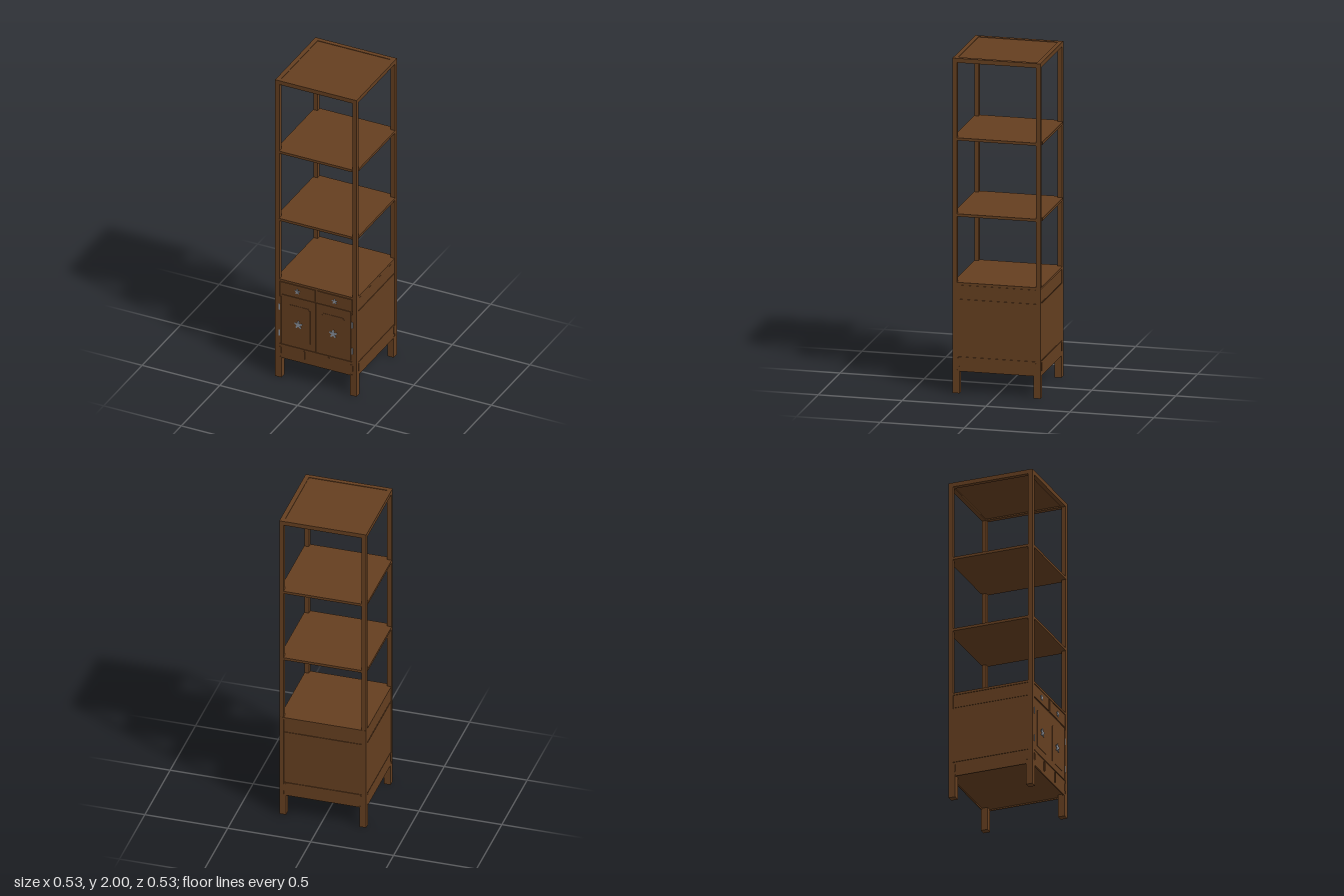
import * as THREE from 'three';

const wood = new THREE.MeshStandardMaterial({ color: 0x653f20 });
wood.name = 'brown wood';
const metal = new THREE.MeshStandardMaterial({ color: 0x8b919b });
metal.name = 'grey metal';

// Box given by its min and max on each axis
function box(parent, name, x0, x1, y0, y1, z0, z1, mat = wood) {
  const mesh = new THREE.Mesh(new THREE.BoxGeometry(x1 - x0, y1 - y0, z1 - z0), mat);
  mesh.position.set((x0 + x1) / 2, (y0 + y1) / 2, (z0 + z1) / 2);
  mesh.name = name;
  parent.add(mesh);
  return mesh;
}

// Thin shape extruded towards the front
function plate(parent, name, shape, depth, x, y, z, mat = wood) {
  const geo = new THREE.ExtrudeGeometry(shape, { depth, bevelEnabled: false, curveSegments: 6 });
  const mesh = new THREE.Mesh(geo, mat);
  mesh.position.set(x, y, z);
  mesh.name = name;
  parent.add(mesh);
  return mesh;
}

// Five-petalled rosette outline
function rosetteShape(r) {
  const points = [];
  for (let i = 0; i < 40; i++) {
    const a = (i / 40) * Math.PI * 2 + Math.PI / 2;
    const k = r * (0.7 + 0.3 * Math.cos(5 * (a - Math.PI / 2)));
    points.push(new THREE.Vector2(Math.cos(a) * k, Math.sin(a) * k));
  }
  return new THREE.Shape(points);
}

// Raised door panel with scooped upper corners
function panelShape(w, h, r) {
  const s = new THREE.Shape();
  s.moveTo(-w / 2, 0);
  s.lineTo(w / 2, 0);
  s.lineTo(w / 2, h - r);
  s.quadraticCurveTo(w / 2 - r, h - r, w / 2 - r, h);
  s.lineTo(-w / 2 + r, h);
  s.quadraticCurveTo(-w / 2 + r, h - r, -w / 2, h - r);
  s.closePath();
  return s;
}

// Upright rounded slot used on the apron
function stubShape(w, h) {
  const s = new THREE.Shape();
  s.absarc(0, h / 2 - w / 2, w / 2, 0, Math.PI, false);
  s.absarc(0, -h / 2 + w / 2, w / 2, Math.PI, Math.PI * 2, false);
  s.closePath();
  return s;
}

export function createModel() {
  const model = new THREE.Group();
  model.name = 'shelfCabinet';
  const R = 0.262, P = 0.235;

  // Corner posts with thicker feet
  for (const sx of [-1, 1]) {
    for (const sz of [-1, 1]) {
      const corner = new THREE.Group();
      corner.name = 'cornerPost';
      const span = (s, a) => (s > 0 ? [a, R] : [-R, -a]);
      box(corner, 'post', ...span(sx, P), 0, 1.98, ...span(sz, P));
      box(corner, 'foot', ...span(sx, 0.221), 0, 0.14, ...span(sz, 0.221));
      model.add(corner);
    }
  }

  // Top: frame around a slightly sunken board
  const top = new THREE.Group();
  top.name = 'top';
  for (const s of [-1, 1]) {
    const [a, b] = s > 0 ? [P, R] : [-R, -P];
    box(top, 'frameRail', -R, R, 1.974, 2, a, b);
    box(top, 'frameSideRail', a, b, 1.974, 2, -P, P);
  }
  box(top, 'topBoard', -P, P, 1.982, 1.997, -P, P);
  model.add(top);

  // Open shelves notched around the posts
  for (const y of [1.056, 1.51]) {
    const shelf = new THREE.Group();
    shelf.name = 'shelf';
    box(shelf, 'shelfBoard', -0.264, 0.264, y, y + 0.016, -P, P);
    for (const s of [-1, 1]) {
      const [a, b] = s > 0 ? [P, 0.264] : [-0.266, -P];
      box(shelf, 'shelfEdge', -P, P, y, y + 0.016, a, b);
    }
    model.add(shelf);
  }

  // Cabinet body
  box(model, 'cabinetBody', -0.257, 0.257, 0.14, 0.65, -0.257, 0.255);
  box(model, 'cabinetTop', -0.261, 0.261, 0.648, 0.662, -0.263, 0.261);

  // Side and back panelling
  for (let i = 0; i < 3; i++) {
    const side = new THREE.Group();
    side.name = ['rightPanelling', 'backPanelling', 'leftPanelling'][i];
    side.rotation.y = (i + 1) * Math.PI / 2;
    box(side, 'upperRail', -0.232, 0.232, 0.567, 0.646, 0.255, 0.26);
    box(side, 'mainPanel', -P, P, 0.222, 0.562, 0.255, 0.261);
    box(side, 'lowerRail', -P, P, 0.132, 0.218, 0.255, 0.261);
    for (const s of [-1, 1]) {
      plate(side, 'railStub', stubShape(0.014, 0.055), 0.003, s * 0.228, 0.185, 0.26);
    }
    model.add(side);
  }

  // Front apron
  const apron = new THREE.Group();
  apron.name = 'apron';
  box(apron, 'apronBoard', -P, P, 0.132, 0.224, 0.25, 0.259);
  for (const x of [-0.08, 0.08]) {
    plate(apron, 'apronStub', stubShape(0.015, 0.064), 0.004, x, 0.184, 0.259);
  }
  for (const x of [-0.23, 0.23]) {
    plate(apron, 'cornerStub', stubShape(0.016, 0.05), 0.003, x, 0.183, 0.26);
  }
  model.add(apron);

  // Drawers and doors, mirrored about the middle
  for (const s of [-1, 1]) {
    const drawer = new THREE.Group();
    drawer.name = s > 0 ? 'leftDrawer' : 'rightDrawer';
    drawer.position.x = s * 0.12;
    box(drawer, 'drawerFront', -0.113, 0.113, 0.568, 0.644, 0.25, 0.26);
    plate(drawer, 'drawerKnob', rosetteShape(0.018), 0.003, 0, 0.604, 0.26, metal);
    model.add(drawer);

    const door = new THREE.Group();
    door.name = s > 0 ? 'leftDoor' : 'rightDoor';
    door.position.x = s * 0.112;
    box(door, 'doorBoard', -0.11, 0.11, 0.23, 0.56, 0.25, 0.259);
    plate(door, 'raisedPanel', panelShape(0.15, 0.235, 0.012), 0.002, 0, 0.27, 0.259);
    plate(door, 'doorKnob', rosetteShape(0.027), 0.004, 0, 0.384, 0.261, metal);
    model.add(door);

    box(model, 'hingeStile', s * 0.23 - 0.005, s * 0.23 + 0.005, 0.228, 0.545, 0.25, 0.2615);
    for (const y of [0.3, 0.475]) {
      box(model, 'hinge', s * 0.234 - 0.004, s * 0.234 + 0.004, y - 0.02, y + 0.02, 0.255, 0.264, metal);
    }
  }

  return model;
}
